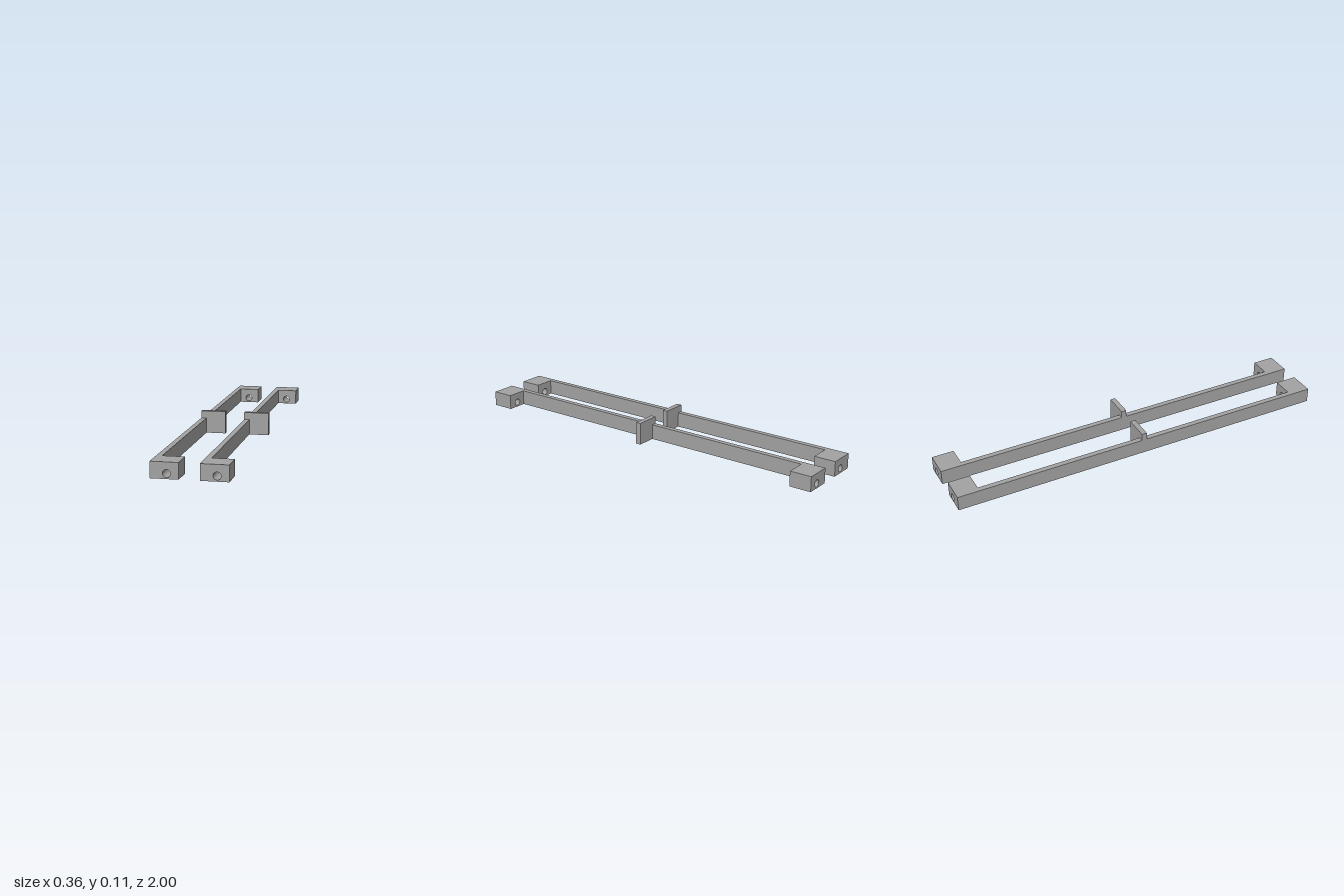
import * as THREE from 'three';

const HEIGHT = 0.077;      // rail and block height
const RAIL = 0.027;        // rail thickness
const BLOCK_W = 0.131;     // end block width
const BLOCK_Z = 0.887;     // inner face of the end blocks
const PLATE_BACK = -0.012; // middle plate, back and front faces
const PLATE_FRONT = 0.015;

export function createModel() {
  const grey = new THREE.MeshStandardMaterial({ color: 0xa2a2a2 });
  grey.name = 'plainGrey';

  // box given by its lower and upper corners
  function box(name, x0, x1, y0, y1, z0, z1) {
    const mesh = new THREE.Mesh(new THREE.BoxGeometry(x1 - x0, y1 - y0, z1 - z0), grey);
    mesh.position.set((x0 + x1) / 2, (y0 + y1) / 2, (z0 + z1) / 2);
    mesh.name = name;
    return mesh;
  }

  // end block with a screw hole running through it along z
  const face = new THREE.Shape();
  face.moveTo(0, 0).lineTo(BLOCK_W, 0).lineTo(BLOCK_W, HEIGHT).lineTo(0, HEIGHT).closePath();
  const hole = new THREE.Path();
  hole.absarc(0.076, 0.025, 0.018, 0, Math.PI * 2, true);
  face.holes.push(hole);
  const blockGeometry = new THREE.ExtrudeGeometry(face, {
    depth: 1 - BLOCK_Z, bevelEnabled: false, curveSegments: 32,
  });

  function endBlock(name, z) {
    const mesh = new THREE.Mesh(blockGeometry, grey);
    mesh.position.z = z;
    mesh.name = name;
    return mesh;
  }

  // one bracket: thin rail, two end blocks and a taller middle plate
  function bracket(name, x) {
    const group = new THREE.Group();
    group.name = name;
    group.position.x = x;
    group.add(
      box('railFront', 0, RAIL, 0, HEIGHT, PLATE_FRONT, BLOCK_Z),
      box('railBack', 0, RAIL, 0, HEIGHT, -BLOCK_Z, PLATE_BACK),
      box('middlePlate', 0, 0.127, 0, 0.114, PLATE_BACK, PLATE_FRONT),
      endBlock('endBlockFront', BLOCK_Z),
      endBlock('endBlockBack', -1),
    );
    return group;
  }

  const model = new THREE.Group();
  model.name = 'railBrackets';
  model.add(bracket('rightBracket', -0.179), bracket('leftBracket', 0.047));
  return model;
}
